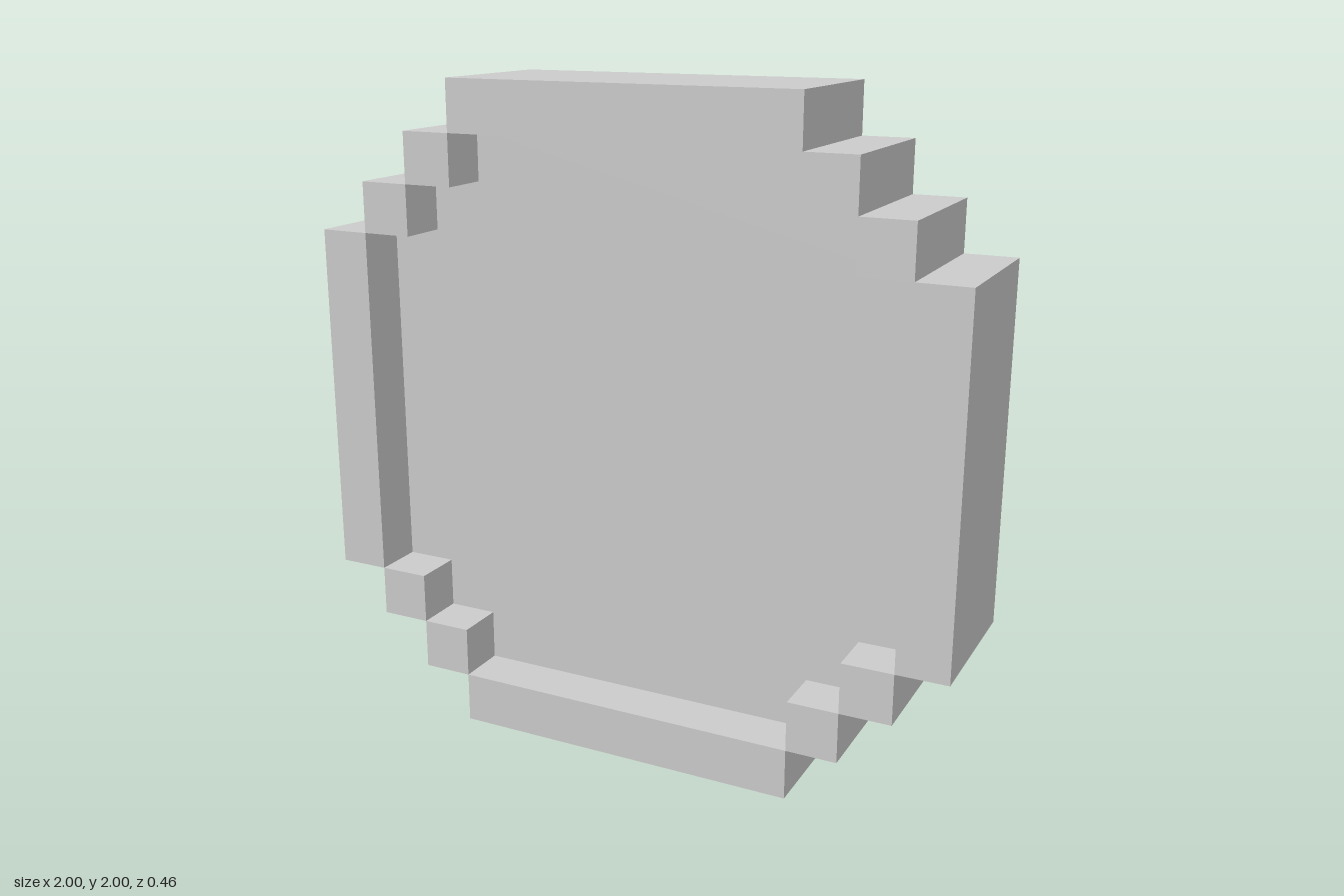
import * as THREE from 'three';

const U = 2 / 13; // one block of the 13 x 13 grid

export function createModel() {
  const model = new THREE.Group();
  model.name = 'blockDisc';
  const material = new THREE.MeshStandardMaterial({ color: 0xcccccc, flatShading: true });

  // Box measured in blocks, centred on the disc's middle
  const addBlock = (name, x, y, w, h) => {
    const mesh = new THREE.Mesh(new THREE.BoxGeometry(w * U, h * U, 3 * U), material);
    mesh.name = name;
    mesh.position.set(x * U, 1 + y * U, 0);
    model.add(mesh);
  };

  // Raised rim: four long bars joined by two corner steps in each quadrant
  for (const s of [-1, 1]) {
    addBlock(s > 0 ? 'topRim' : 'bottomRim', 0, 6 * s, 7, 1);
    addBlock(s > 0 ? 'leftRim' : 'rightRim', 6 * s, 0, 1, 7);
    for (const t of [-1, 1]) {
      addBlock('rimStep', 4 * s, 5 * t, 1, 1);
      addBlock('rimStep', 5 * s, 4 * t, 1, 1);
    }
  }

  // Thin stepped panel, recessed by one block on both faces
  const quarter = [[5.5, 3.5], [4.5, 3.5], [4.5, 4.5], [3.5, 4.5], [3.5, 5.5]];
  const outline = [];
  for (let q = 0; q < 4; q++) {
    const angle = q * Math.PI / 2;
    for (const [x, y] of quarter) {
      outline.push(new THREE.Vector2(x * U, y * U).rotateAround(new THREE.Vector2(), angle));
    }
  }
  const panel = new THREE.Mesh(
    new THREE.ExtrudeGeometry(new THREE.Shape(outline), { depth: U, bevelEnabled: false }),
    material
  );
  panel.name = 'centrePanel';
  panel.position.set(0, 1, -U / 2);
  model.add(panel);

  return model;
}
